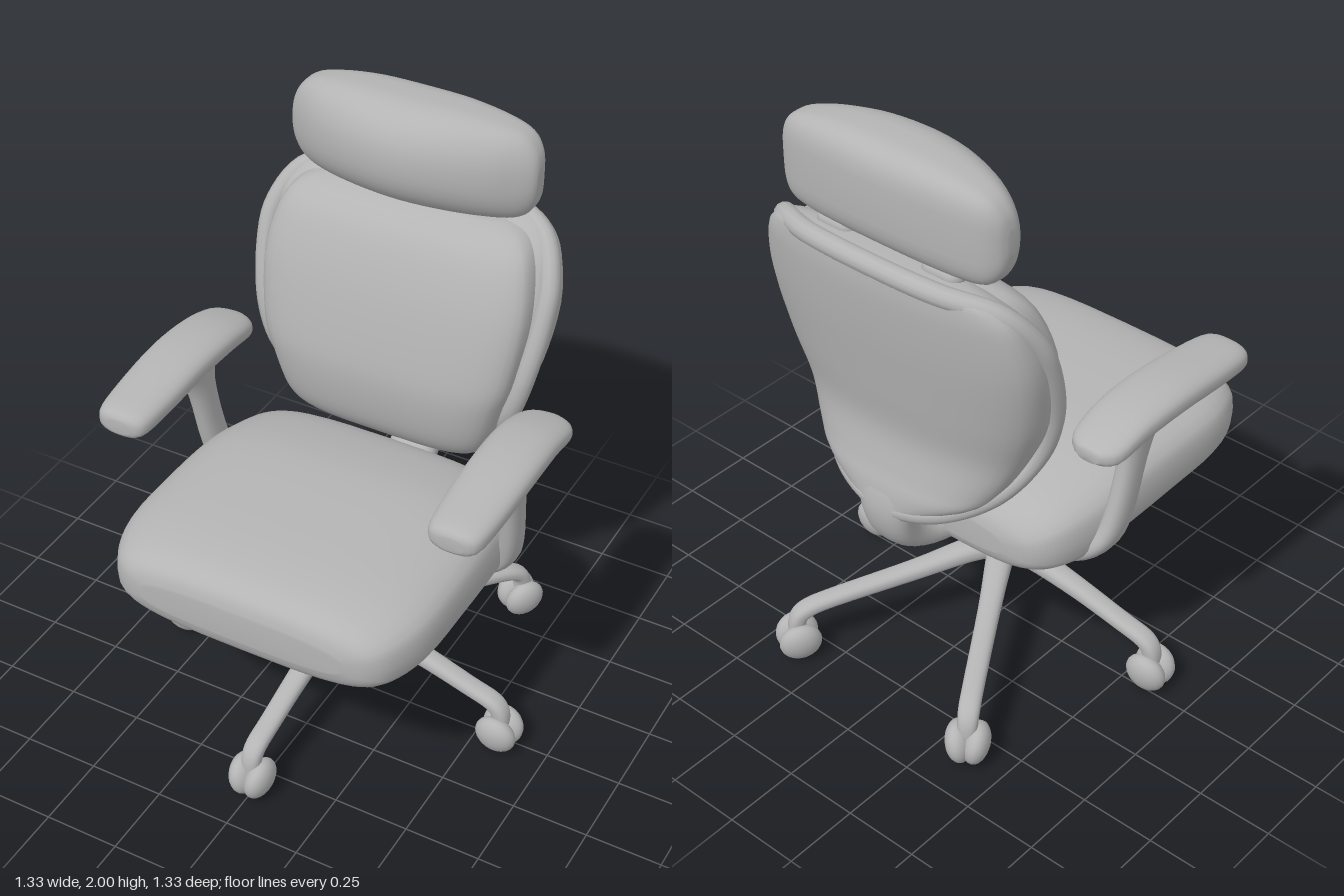
import * as THREE from 'three';

const RING = 36;
const STEPS = 4;

// Smoothly subdivide a list of numeric rows.
function refine(rows) {
  const out = [];
  const at = (i) => rows[Math.min(Math.max(i, 0), rows.length - 1)];
  for (let i = 0; i < rows.length - 1; i++) {
    for (let s = 0; s < STEPS; s++) {
      const t = s / STEPS;
      out.push(at(i).map((p1, k) => {
        const p0 = at(i - 1)[k], p2 = at(i + 1)[k], p3 = at(i + 2)[k];
        return 0.5 * (2 * p1 + (p2 - p0) * t + (2 * p0 - 5 * p1 + 4 * p2 - p3) * t * t
          + (3 * p1 - p0 - 3 * p2 + p3) * t * t * t);
      }));
    }
  }
  out.push(rows[rows.length - 1]);
  return out;
}

// Unit rounded outline; the two exponents square off its + and - halves in b.
function outline(pPos, pNeg = pPos) {
  return Array.from({ length: RING }, (_, i) => {
    const t = (i / RING) * Math.PI * 2, c = Math.cos(t), s = Math.sin(t);
    const e = 2 / (s >= 0 ? pPos : pNeg);
    return [Math.sign(c) * Math.abs(c) ** e, Math.sign(s) * Math.abs(s) ** e];
  });
}

// Closed skin over rings of points, wound so that it faces outward.
function skin(rings) {
  const pos = [], index = [];
  rings.forEach((r) => r.forEach((p) => pos.push(...p)));
  for (let j = 0; j < rings.length - 1; j++) {
    for (let i = 0; i < RING; i++) {
      const a = j * RING + i, b = j * RING + (i + 1) % RING;
      index.push(a, b, a + RING, b, b + RING, a + RING);
    }
  }
  [0, rings.length - 1].forEach((j, end) => {
    const mid = [0, 1, 2].map((k) => rings[j].reduce((sum, p) => sum + p[k], 0) / RING);
    const m = pos.length / 3;
    pos.push(...mid);
    for (let i = 0; i < RING; i++) {
      const a = j * RING + i, b = j * RING + (i + 1) % RING;
      index.push(...(end ? [a, b, m] : [b, a, m]));
    }
  });
  const point = (i) => new THREE.Vector3().fromArray(pos, i * 3);
  let volume = 0;
  for (let i = 0; i < index.length; i += 3) {
    volume += point(index[i]).dot(point(index[i + 1]).cross(point(index[i + 2])));
  }
  if (volume < 0) index.reverse();
  const g = new THREE.BufferGeometry();
  g.setAttribute('position', new THREE.Float32BufferAttribute(pos, 3));
  g.setIndex(index);
  g.computeVertexNormals();
  return g;
}

// Loft along an axis; rows are [position, aMin, aMax, bMin, bMax].
function loft(axis, rows, shape) {
  return skin(refine(rows).map(([p, a0, a1, b0, b1]) => shape.map(([u, v]) => {
    const a = (a0 + a1) / 2 + u * (a1 - a0) / 2, b = (b0 + b1) / 2 + v * (b1 - b0) / 2;
    return axis === 'x' ? [p, a, b] : axis === 'y' ? [a, p, b] : [a, b, p];
  })));
}

// Bar bent in the xy plane; rows are [x, y, z, half width in z, half thickness].
function bar(rows) {
  const fine = refine(rows), shape = outline(2.4);
  return skin(fine.map(([x, y, z, w, t], i) => {
    const a = fine[Math.max(i - 1, 0)], b = fine[Math.min(i + 1, fine.length - 1)];
    const dx = b[0] - a[0], dy = b[1] - a[1], d = Math.hypot(dx, dy);
    return shape.map(([u, v]) => [x - dy / d * v * t, y + dx / d * v * t, z + u * w]);
  }));
}

export function createModel() {
  const model = new THREE.Group();
  model.name = 'officeChair';
  const grey = new THREE.MeshStandardMaterial({ color: 0xb4b4b4 });
  grey.name = 'grey';
  const add = (name, geometry, parent = model) => {
    const mesh = new THREE.Mesh(geometry, grey);
    mesh.name = name;
    parent.add(mesh);
    return mesh;
  };
  const wide = (rows) => rows.map(([p, w, b0, b1]) => [p, -w, w, b0, b1]);

  // Seat cushion
  add('seat', loft('z', wide([
    [0.64, 0.34, 0.68, 0.78], [0.62, 0.42, 0.63, 0.83], [0.56, 0.48, 0.597, 0.865],
    [0.42, 0.525, 0.585, 0.885], [0.2, 0.53, 0.575, 0.89], [0, 0.525, 0.56, 0.885],
    [-0.15, 0.51, 0.54, 0.86], [-0.28, 0.47, 0.55, 0.82], [-0.35, 0.4, 0.58, 0.76],
    [-0.37, 0.3, 0.62, 0.71]]), outline(3.2)));

  // Mechanism under the seat
  add('mechanism', loft('y', wide([
    [0.48, 0.06, -0.06, 0.06], [0.5, 0.11, -0.12, 0.15], [0.55, 0.17, -0.2, 0.26],
    [0.6, 0.27, -0.24, 0.4]]), outline(2.4)));

  // Backrest shell, its front cushion and the raised rim
  add('backShell', loft('y', wide([
    [0.78, 0.1, -0.58, -0.48], [0.86, 0.28, -0.57, -0.34], [0.93, 0.35, -0.55, -0.27],
    [1.05, 0.41, -0.53, -0.23], [1.2, 0.47, -0.55, -0.23], [1.4, 0.5, -0.58, -0.28],
    [1.55, 0.475, -0.595, -0.35], [1.62, 0.43, -0.595, -0.41], [1.655, 0.36, -0.59, -0.46],
    [1.665, 0.25, -0.57, -0.5]]), outline(2.8, 2.4)));
  add('backCushion', loft('y', wide([
    [0.85, 0.26, -0.45, -0.3], [0.88, 0.32, -0.45, -0.235], [0.95, 0.36, -0.45, -0.19],
    [1.08, 0.4, -0.45, -0.17], [1.2, 0.435, -0.45, -0.18], [1.4, 0.455, -0.47, -0.23],
    [1.55, 0.43, -0.5, -0.295], [1.62, 0.38, -0.52, -0.36], [1.645, 0.3, -0.52, -0.42]]),
  outline(3.6)));
  const half = [[0.25, 1.645, -0.56], [0.41, 1.61, -0.49], [0.475, 1.5, -0.41],
    [0.48, 1.38, -0.36], [0.45, 1.18, -0.31], [0.4, 1.03, -0.32], [0.32, 0.9, -0.41],
    [0.18, 0.82, -0.51]];
  const rim = [[0, 1.65, -0.575], ...half, [0, 0.79, -0.55],
    ...half.map(([x, y, z]) => [-x, y, z]).reverse()].map((p) => new THREE.Vector3(...p));
  add('backRim', new THREE.TubeGeometry(new THREE.CatmullRomCurve3(rim, true), 120, 0.033, 12, true));

  // Spine hooking from the backrest to below the seat
  add('spine', bar([
    [0.52, 0.88, 0, 0.13, 0.04], [0.53, 0.78, 0, 0.1, 0.055], [0.5, 0.68, 0, 0.085, 0.055],
    [0.4, 0.61, 0, 0.085, 0.045], [0.25, 0.585, 0, 0.1, 0.04], [0.08, 0.57, 0, 0.1, 0.04],
  ])).rotation.y = Math.PI / 2;

  // Headrest, bulging forward with a flatter back
  const head = [[0, 1.67, 2.0, -0.56, -0.26], [0.15, 1.67, 1.997, -0.555, -0.28],
    [0.28, 1.672, 1.98, -0.54, -0.325], [0.36, 1.685, 1.955, -0.52, -0.37],
    [0.4, 1.73, 1.91, -0.49, -0.4], [0.412, 1.79, 1.86, -0.46, -0.42]];
  add('headrest', loft('x', [...head.slice(1).reverse().map(([x, ...r]) => [-x, ...r]), ...head],
    outline(2.2, 3.6)));

  for (const s of [-1, 1]) {
    const side = s > 0 ? 'left' : 'right';
    // Headrest mount
    const mount = add(side + 'HeadrestMount', new THREE.CapsuleGeometry(0.035, 0.07, 6, 16));
    mount.rotation.z = Math.PI / 2;
    mount.position.set(s * 0.2, 1.665, -0.485);

    // Arm pad
    add(side + 'ArmPad', loft('z', [
      [0.395, 0.525, 0.6, 1.085, 1.13], [0.37, 0.48, 0.645, 1.068, 1.155],
      [0.25, 0.465, 0.66, 1.075, 1.172], [0.05, 0.46, 0.665, 1.09, 1.19],
      [-0.12, 0.46, 0.66, 1.085, 1.18], [-0.25, 0.475, 0.65, 1.065, 1.145],
      [-0.295, 0.525, 0.6, 1.08, 1.12],
    ].map(([z, a, b, ...y]) => [z, s * a, s * b, ...y]), outline(2.6)));

    // Arm post curving in below the seat
    add(side + 'ArmPost', bar([
      [0.56, 1.12, -0.02, 0.14, 0.05], [0.555, 1.05, -0.04, 0.08, 0.04],
      [0.55, 0.95, -0.06, 0.055, 0.035], [0.535, 0.75, -0.1, 0.055, 0.035],
      [0.5, 0.65, -0.13, 0.06, 0.035], [0.4, 0.58, -0.14, 0.06, 0.035],
      [0.25, 0.55, -0.13, 0.06, 0.032], [0.08, 0.535, -0.1, 0.06, 0.03],
    ].map(([x, ...r]) => [s * x, ...r])));
  }

  // Central column
  const column = [[0, 0.22], [0.045, 0.23], [0.06, 0.28], [0.057, 0.33], [0.055, 0.4],
    [0.045, 0.44], [0.035, 0.46], [0.037, 0.49], [0.06, 0.52]];
  add('column', new THREE.LatheGeometry(column.map((p) => new THREE.Vector2(...p)), 28));

  // Five legs, each with a twin-wheel caster
  const feet = [[0, 0.59], [0.59, 0.03], [-0.59, 0.03], [0.365, -0.595], [-0.365, -0.595]];
  feet.forEach(([x, z]) => {
    const leg = new THREE.Group();
    leg.name = 'leg';
    leg.rotation.y = Math.atan2(-z, x);
    model.add(leg);
    const r = Math.hypot(x, z);
    add('legBar', bar([
      [0, 0.29, 0, 0.05, 0.04], [0.12, 0.285, 0, 0.043, 0.034], [0.3, 0.25, 0, 0.036, 0.029],
      [r - 0.12, 0.205, 0, 0.034, 0.025], [r - 0.03, 0.18, 0, 0.034, 0.026],
      [r, 0.145, 0, 0.032, 0.028], [r + 0.002, 0.09, 0, 0.03, 0.03]]), leg);
    for (const s of [-1, 1]) {
      const wheel = add('casterWheel', new THREE.SphereGeometry(0.07, 20, 14), leg);
      wheel.scale.z = 0.62;
      wheel.rotation.x = s * 0.2;
      wheel.position.set(r, 0.07, s * 0.027);
    }
  });

  return model;
}
